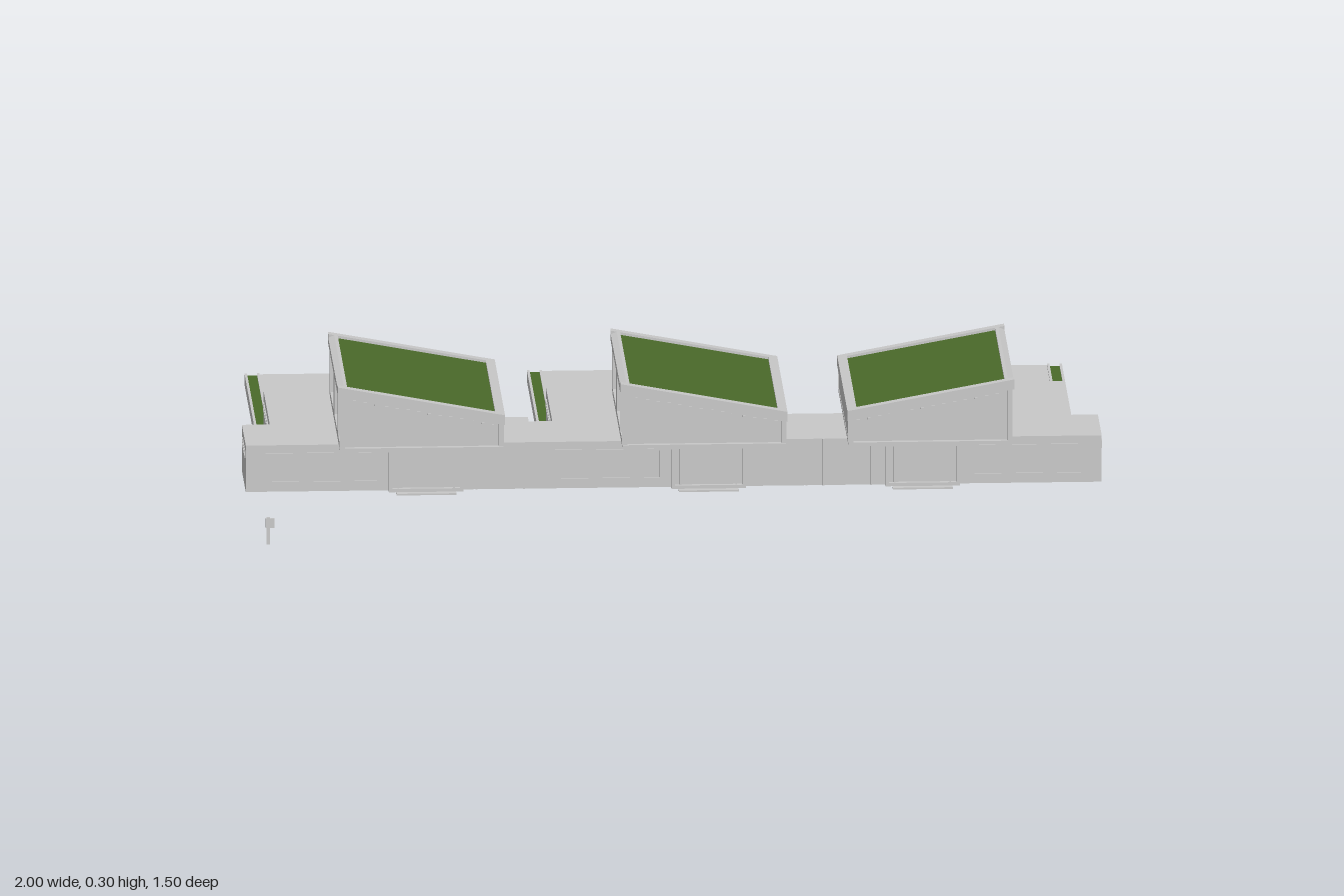
import * as THREE from 'three';

const concrete = new THREE.MeshStandardMaterial({ color: 0xc8c8c8 });
concrete.name = 'concrete grey';
const grass = new THREE.MeshStandardMaterial({ color: 0x4a6a2a });
grass.name = 'grass green';

// One house; sign mirrors it in x and shift moves it along the row
function house(sign, shift) {
  const g = new THREE.Group();
  const X = x => sign * x + shift;

  const box = (name, x0, x1, y0, y1, z0, z1, mat = concrete) => {
    const m = new THREE.Mesh(new THREE.BoxGeometry(x1 - x0, y1 - y0, z1 - z0), mat);
    m.position.set(X((x0 + x1) / 2), (y0 + y1) / 2, (z0 + z1) / 2);
    m.name = name;
    g.add(m);
  };
  // Outline in x/y pulled from z0 to z1
  const prism = (name, pts, z0, z1, mat = concrete) => {
    const shape = new THREE.Shape(pts.map(([x, y]) => new THREE.Vector2(X(x), y)));
    const geo = new THREE.ExtrudeGeometry(shape, { depth: z1 - z0, bevelEnabled: false });
    const m = new THREE.Mesh(geo, mat);
    m.position.z = z0;
    m.name = name;
    g.add(m);
  };
  // Thin rectangular frame on a wall facing z
  const frameZ = (name, x0, x1, y0, y1, z0, z1, t = 0.006) => {
    box(name, x0, x1, y0, y0 + t, z0, z1);
    box(name, x0, x1, y1 - t, y1, z0, z1);
    box(name, x0, x0 + t, y0 + t, y1 - t, z0, z1);
    box(name, x1 - t, x1, y0 + t, y1 - t, z0, z1);
  };
  // Thin rectangular frame on a wall facing x
  const frameX = (name, x0, x1, y0, y1, z0, z1, t = 0.004) => {
    box(name, x0, x1, y0, y0 + t, z0, z1);
    box(name, x0, x1, y1 - t, y1, z0, z1);
    box(name, x0, x1, y0 + t, y1 - t, z0, z0 + t);
    box(name, x0, x1, y0 + t, y1 - t, z1 - t, z1);
  };

  // Ground floor
  box('garage', -0.935, -0.675, 0.015, 0.127, -0.23, 0.27);
  box('sideWing', -1, -0.935, 0.015, 0.127, 0.08, 0.27);
  box('livingWing', -0.675, -0.33, 0.015, 0.127, 0.04, 0.27);
  frameZ('frontWindowFrame', -0.955, -0.69, 0.035, 0.108, 0.27, 0.273, 0.004);
  frameZ('garageDoorFrame', -0.915, -0.695, 0.022, 0.112, -0.235, -0.23);
  frameX('wingSlitWindow', -1.002, -1, 0.09, 0.108, 0.12, 0.245);
  frameX('garageSlitWindow', -0.938, -0.935, 0.09, 0.108, -0.195, 0.055);

  // Front bay window
  box('bayGlass', -0.66, -0.5, 0.025, 0.12, 0.27, 0.29);
  frameZ('bayFrame', -0.667, -0.493, 0.018, 0.127, 0.27, 0.3, 0.008);
  for (const x of [-0.645, -0.515])
    box('bayMullion', x - 0.002, x + 0.002, 0.026, 0.119, 0.29, 0.296);
  box('baySill', -0.65, -0.51, 0.014, 0.018, 0.27, 0.315);
  for (const x of [-0.463, -0.352]) box('wallBatten', x, x + 0.004, 0.015, 0.127, 0.27, 0.273);

  // Upper floor: roof height at x, floor slab and slanted core
  const top = x => 0.225 - (x + 0.4) * 0.184;
  const band = (x0, x1, lo, hi) =>
    [[x0, top(x0) - lo], [x1, top(x1) - lo], [x1, top(x1) - hi], [x0, top(x0) - hi]];
  box('upperPlinth', -0.71, -0.46, 0.127, 0.14, -0.07, 0.35);
  box('upperFloorSlab', -0.785, -0.403, 0.139, 0.148, -0.115, 0.388);
  prism('upperRoom', [[-0.775, 0.148], [-0.412, 0.148],
    [-0.412, top(-0.412) - 0.012], [-0.775, top(-0.775) - 0.012]], -0.105, 0.376);

  // Sloping roof: raised rim around a planted field
  prism('roofRim', band(-0.79, -0.4, 0, 0.024), 0.37, 0.392);
  prism('roofRim', band(-0.79, -0.4, 0, 0.024), -0.118, -0.096);
  prism('tallRim', [[-0.79, 0.272], [-0.768, 0.268], [-0.768, top(-0.768)],
    [-0.776, top(-0.776)], [-0.79, 0.288]], -0.096, 0.37);
  prism('lowRim', band(-0.422, -0.4, 0, 0.024), -0.096, 0.37);
  prism('roofGrass', band(-0.768, -0.422, 0.006, 0.014), -0.096, 0.37, grass);

  // Walls of the upper floor: corner posts, window mullions and frames
  for (const [z0, z1] of [[0.376, 0.386], [-0.114, -0.105]]) {
    prism('cornerPost', [[-0.786, 0.148], [-0.774, 0.148], [-0.774, 0.27], [-0.786, 0.274]], z0, z1);
    prism('cornerPost', [[-0.414, 0.148], [-0.402, 0.148], [-0.402, 0.205], [-0.414, 0.208]], z0, z1);
  }
  for (const x of [-0.66, -0.535])
    prism('backMullion', [[x, 0.148], [x + 0.008, 0.148],
      [x + 0.008, top(x) - 0.022], [x, top(x) - 0.02]], -0.113, -0.105);
  for (const [z0, z1] of [[0.285, 0.384], [0.09, 0.268], [-0.112, 0.074]])
    frameX('sideWindowFrame', -0.785, -0.775, 0.148, 0.274, z0, z1, 0.006);
  box('lowWall', -0.412, -0.404, 0.148, 0.205, -0.105, 0.376);

  // Small lamps under the front eave
  for (let i = 0; i < 14; i++) {
    const x = -0.755 + i * 0.025;
    box('eaveLamp', x, x + 0.008, top(x) - 0.034, top(x) - 0.03, 0.376, 0.38);
  }

  // Drive with low side strips and a planted channel
  box('drive', -0.92, -0.69, 0, 0.027, -0.755, -0.23);
  box('innerDriveEdge', -0.69, -0.65, 0.004, 0.022, -0.75, -0.23);
  box('channelBase', -0.955, -0.92, 0.004, 0.018, -0.75, -0.23);
  box('channelKerb', -0.955, -0.949, 0.018, 0.031, -0.75, -0.23);
  box('channelKerb', -0.926, -0.92, 0.018, 0.031, -0.75, -0.23);
  box('channelGrass', -0.949, -0.926, 0.018, 0.028, -0.74, -0.235, grass);

  // Slim post by the back door
  box('doorPost', -0.986, -0.978, 0.018, 0.08, 0.062, 0.078);
  return g;
}

export function createModel() {
  const model = new THREE.Group();
  [['rightHouse', 1, 0], ['middleHouse', 1, 0.66], ['leftHouse', -1, 0]].forEach(([name, sign, shift]) => {
    const h = house(sign, shift);
    h.name = name;
    model.add(h);
  });

  // Free-standing marker post in front
  const post = new THREE.Group();
  post.name = 'markerPost';
  for (const [w, h, x, y] of [[0.008, 0.065, -0.97, 0.0475], [0.02, 0.022, -0.966, 0.066]]) {
    const m = new THREE.Mesh(new THREE.BoxGeometry(w, h, 0.006), concrete);
    m.position.set(x, y, 0.747);
    m.name = 'postPart';
    post.add(m);
  }
  model.add(post);
  return model;
}
